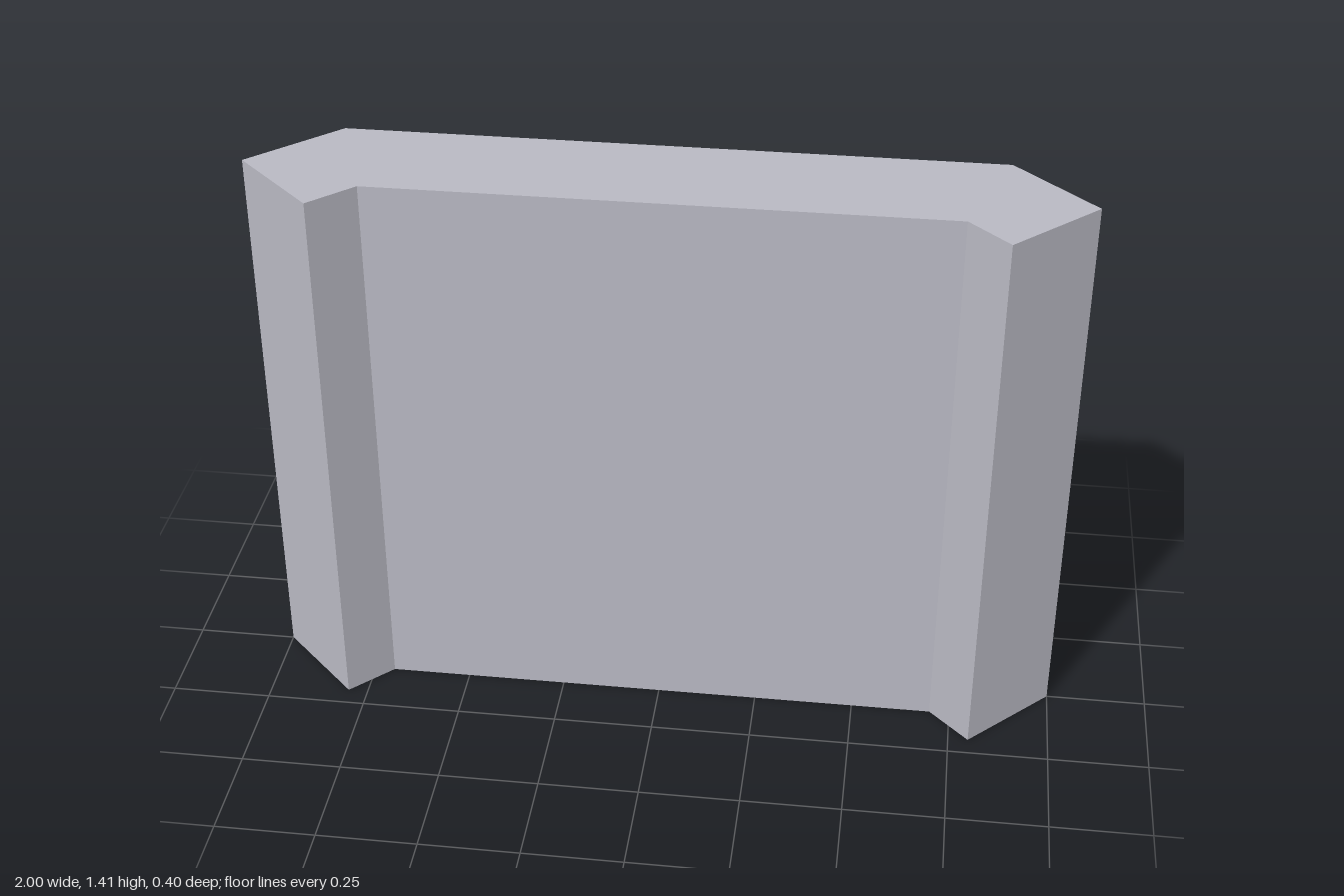
import * as THREE from 'three';

export function createModel() {
  const model = new THREE.Group();
  model.name = 'wallPanel';
  const paleGrey = new THREE.MeshStandardMaterial({ color: 0xb8b8c2 });
  paleGrey.name = 'paleGrey';

  // right half of the plan, as x and z, from front to back
  const half = [[0.7, 0.1], [0.8, 0.2], [1, 0], [0.8, -0.2]];
  const mirrored = half.map(([x, z]) => [-x, z]).reverse();
  const outline = new THREE.Shape([...half, ...mirrored].map(([x, z]) => new THREE.Vector2(x, -z)));

  // plan raised to the full height, with pointed ends and a recessed front
  const geometry = new THREE.ExtrudeGeometry(outline, { depth: Math.SQRT2, bevelEnabled: false });
  geometry.rotateX(-Math.PI / 2);

  const panel = new THREE.Mesh(geometry, paleGrey);
  panel.name = 'panel';
  model.add(panel);
  return model;
}
